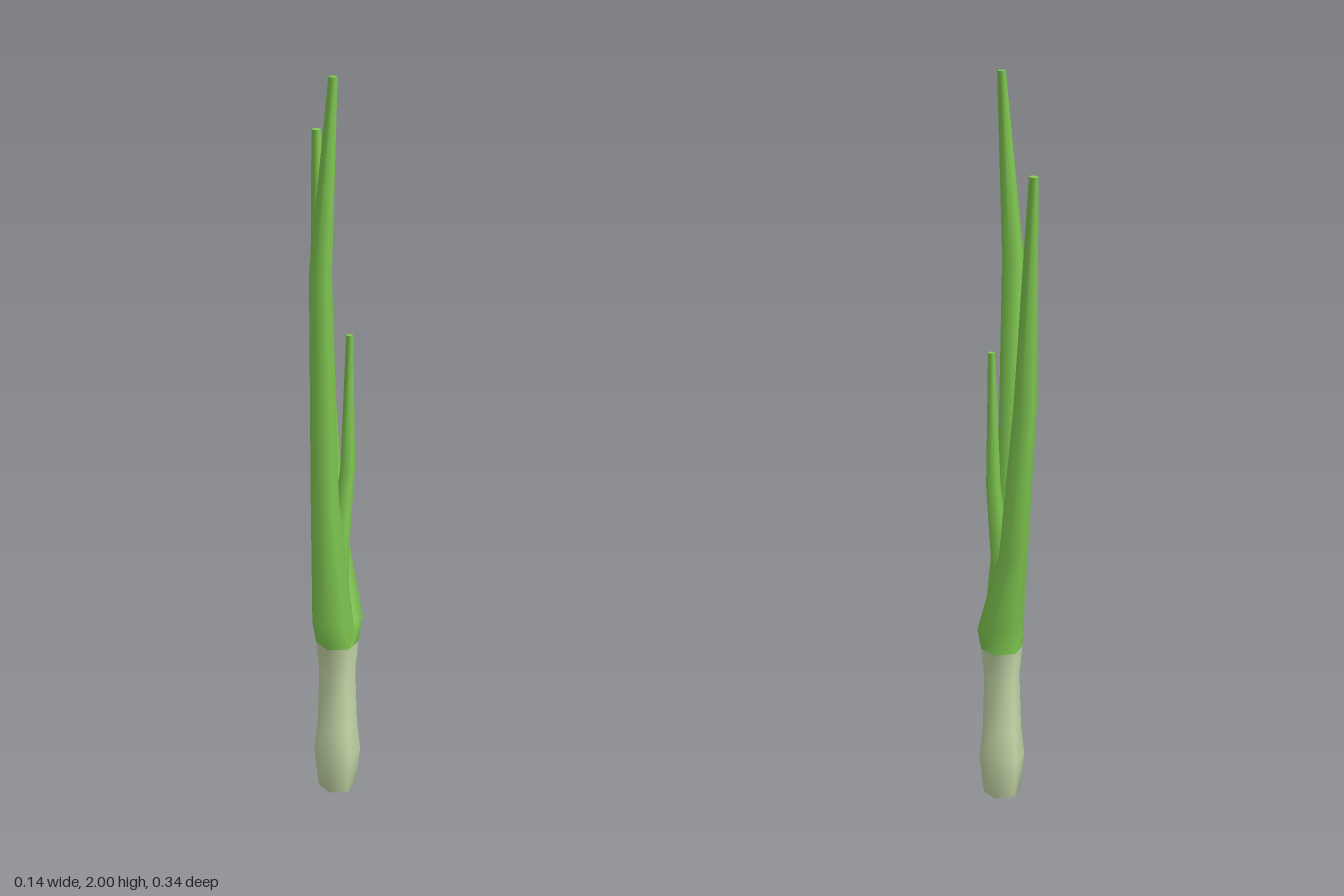
import * as THREE from 'three';

const SIDES = 6;

// Lofts six-sided rings [y, x, z, radiusX, radiusZ] from bottom to top, with a flat end cap.
function loft(name, rings, material) {
  const pos = [], index = [];
  const addRing = ([y, x, z, rx, rz]) => {
    for (let i = 0; i < SIDES; i++) {
      const a = (i / SIDES) * Math.PI * 2;
      pos.push(x + rx * Math.cos(a), y, z + rz * Math.sin(a));
    }
  };
  rings.forEach(addRing);
  for (let r = 0; r < rings.length - 1; r++) {
    for (let i = 0; i < SIDES; i++) {
      const j = (i + 1) % SIDES;
      const a = r * SIDES + i, b = r * SIDES + j;
      index.push(a, a + SIDES, b, b, a + SIDES, b + SIDES);
    }
  }
  // separate cap vertices keep the tip edge sharp
  const cap = rings.length * SIDES;
  addRing(rings[rings.length - 1]);
  for (let i = 1; i < SIDES - 1; i++) index.push(cap, cap + i + 1, cap + i);

  const geometry = new THREE.BufferGeometry();
  geometry.setAttribute('position', new THREE.Float32BufferAttribute(pos, 3));
  geometry.setIndex(index);
  geometry.computeVertexNormals();
  const mesh = new THREE.Mesh(geometry, material);
  mesh.name = name;
  return mesh;
}

export function createModel() {
  const white = new THREE.MeshStandardMaterial({ color: 0xc8dbaa });
  white.name = 'pale stem';
  const green = new THREE.MeshStandardMaterial({ color: 0x82cb52 });
  green.name = 'leaf green';

  const group = new THREE.Group();
  group.name = 'leek';

  // pale stem swelling into a bulb, pointed underneath
  const stem = [[0.005, 0.001], [0.03, 0.05], [0.14, 0.062], [0.22, 0.053], [0.38, 0.048], [0.465, 0.056]];
  group.add(loft('stem', stem.map(([y, r]) => [y, 0.001, 0.047, r, r]), white));

  // both large leaves start from the full stem outline
  const base = [0.465, 0.001, 0.047, 0.056, 0.056];

  group.add(loft('frontLeaf', [
    base,
    [0.54, -0.012, 0.079, 0.054, 0.036],
    [0.9, -0.034, 0.108, 0.036, 0.034],
    [1.52, -0.045, 0.144, 0.028, 0.026],
    [2.0, -0.014, 0.135, 0.011, 0.011],
  ], green));

  group.add(loft('backLeaf', [
    base,
    [0.53, 0.008, 0.031, 0.062, 0.043],
    [0.78, -0.013, -0.052, 0.038, 0.038],
    [1.2, -0.032, -0.109, 0.03, 0.03],
    [1.8, -0.042, -0.158, 0.012, 0.013],
  ], green));

  group.add(loft('shortLeaf', [
    [0.5, -0.005, 0.045, 0.035, 0.03],
    [0.72, 0.008, 0.024, 0.025, 0.019],
    [0.95, 0.03, 0.006, 0.019, 0.017],
    [1.31, 0.034, 0.007, 0.009, 0.009],
  ], green));

  return group;
}
